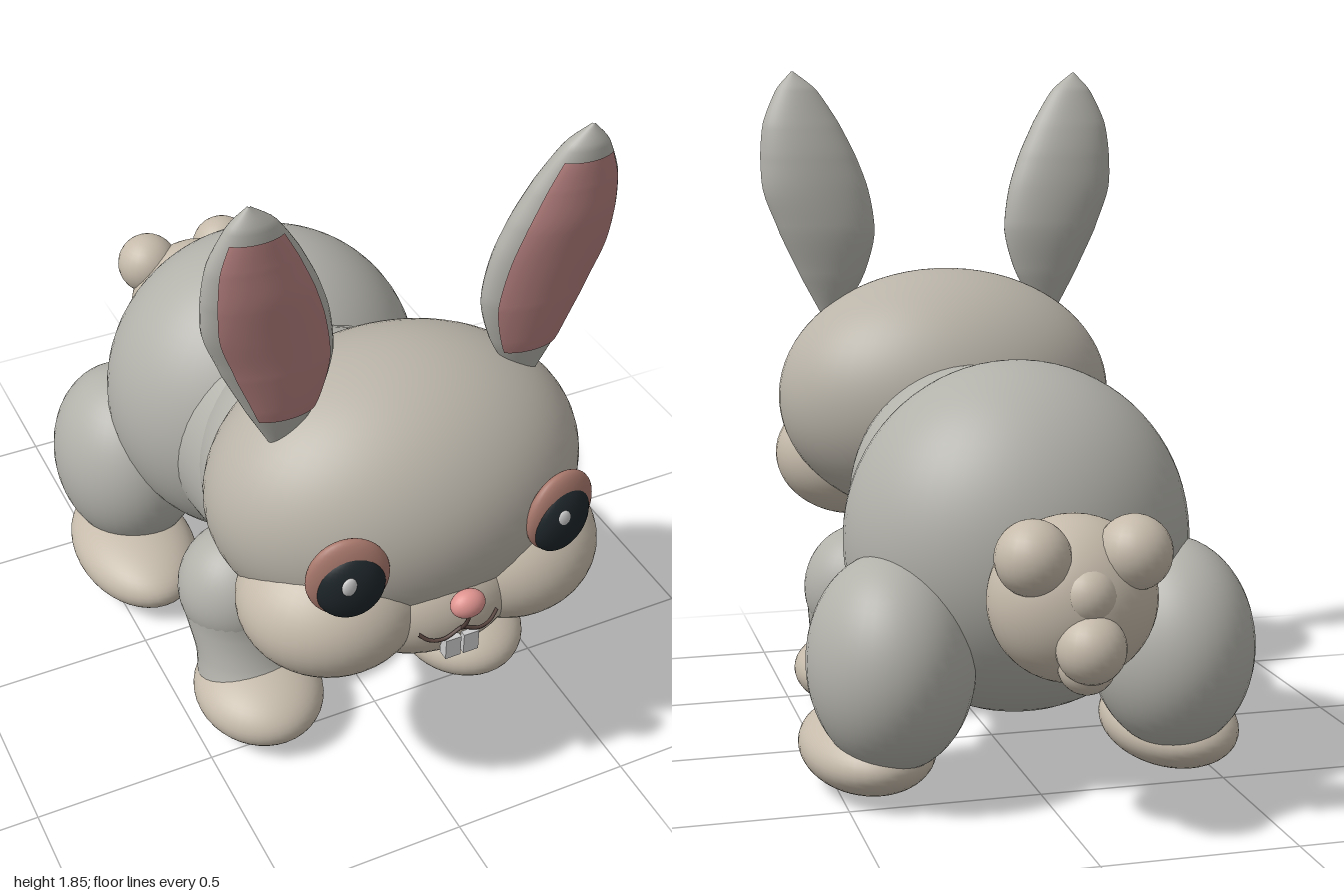
import * as THREE from 'three';
import { ParametricGeometry } from 'three/addons/geometries/ParametricGeometry.js';

const paint = (color) => new THREE.MeshStandardMaterial({ color });
const FUR = paint(0xb2b1aa), FACE = paint(0xb9b3a8), CREAM = paint(0xc6bbab);
const PINK = paint(0xe09490), EAR_PINK = paint(0xb47f7e), RIM = paint(0xa8786c);
const DARK = paint(0x1d2529), WHITE = paint(0xdddddd), LINE = paint(0x5a4640);

function add(parent, name, geometry, material) {
  const mesh = new THREE.Mesh(geometry, material);
  mesh.name = name;
  parent.add(mesh);
  return mesh;
}

// Ellipsoid from centre and radii
function blob(parent, name, material, centre, radii, detail = 40) {
  const mesh = add(parent, name, new THREE.SphereGeometry(1, detail, Math.round(detail * 0.7)), material);
  mesh.position.set(...centre);
  mesh.scale.set(...radii);
  return mesh;
}

// Smooth skin through elliptical rows [x, y, z, halfWidth, halfDepth]; limits pick a patch of it
function loft(rows, side, { a0 = 0, a1 = Math.PI * 2, t0 = 0, t1 = 1, lift = 0 } = {}) {
  const centres = new THREE.CatmullRomCurve3(rows.map(([x, y, z]) => new THREE.Vector3(x * side, y, z)));
  const radii = new THREE.CatmullRomCurve3(rows.map((r) => new THREE.Vector3(r[3], r[4], 0)));
  const c = new THREE.Vector3(), r = new THREE.Vector3();
  return new ParametricGeometry((u, v, target) => {
    const t = THREE.MathUtils.lerp(t0, t1, v), a = THREE.MathUtils.lerp(a0, a1, u);
    centres.getPoint(t, c);
    radii.getPoint(t, r);
    target.set(c.x + (r.x + lift) * Math.cos(a), c.y, c.z - (r.y + lift) * Math.sin(a));
  }, 36, 32);
}

function tube(parent, name, points, radius) {
  const curve = new THREE.CatmullRomCurve3(points.map((p) => new THREE.Vector3(...p)));
  add(parent, name, new THREE.TubeGeometry(curve, 16, radius, 6), LINE);
}

const EAR_ROWS = [
  [0.335, 1.12, 0.61, 0.02, 0.01], [0.33, 1.25, 0.61, 0.095, 0.045], [0.343, 1.38, 0.61, 0.143, 0.064],
  [0.373, 1.5, 0.618, 0.157, 0.069], [0.393, 1.6, 0.63, 0.143, 0.068], [0.412, 1.7, 0.643, 0.113, 0.056],
  [0.423, 1.8, 0.66, 0.058, 0.034], [0.432, 1.85, 0.668, 0.003, 0.003],
];
const SHIN_ROWS = [
  [0.315, 0.1, 0.37, 0.155, 0.17], [0.32, 0.22, 0.325, 0.138, 0.132],
  [0.315, 0.31, 0.285, 0.153, 0.148], [0.31, 0.4, 0.27, 0.168, 0.163],
];

export function createModel() {
  const model = new THREE.Group();
  model.name = 'rabbit';

  // Body
  const body = new THREE.Group();
  body.name = 'body';
  model.add(body);
  blob(body, 'rump', FUR, [0, 0.63, -0.26], [0.46, 0.465, 0.41], 56);
  blob(body, 'chest', FUR, [0, 0.65, 0.18], [0.36, 0.375, 0.335], 48);
  const waistProfile = [[0.375, -0.16], [0.368, -0.02], [0.356, 0.1], [0.345, 0.18], [0.28, 0.26]]
    .map(([r, z]) => new THREE.Vector2(r, z));
  const waist = add(body, 'waist', new THREE.LatheGeometry(new THREE.SplineCurve(waistProfile).getPoints(20), 48), FUR);
  waist.rotation.x = Math.PI / 2;
  waist.position.y = 0.61;

  // Tail with tufts
  const tail = new THREE.Group();
  tail.name = 'tail';
  model.add(tail);
  blob(tail, 'tailBall', CREAM, [0, 0.585, -0.765], [0.21, 0.205, 0.175]);
  for (const [x, y, z, r] of [[-0.125, 0.71, -0.855, 0.092], [0.125, 0.71, -0.855, 0.092],
    [0, 0.5, -0.915, 0.085], [0, 0.45, -0.88, 0.07], [0, 0.62, -0.88, 0.075]]) {
    blob(tail, 'tailTuft', CREAM, [x, y, z], [r, r, r], 24);
  }

  // Head and muzzle
  const head = new THREE.Group();
  head.name = 'head';
  model.add(head);
  blob(head, 'skull', FACE, [0, 0.895, 0.56], [0.5, 0.375, 0.375], 56);
  blob(head, 'muzzle', CREAM, [0, 0.68, 0.74], [0.26, 0.18, 0.2]);
  blob(head, 'nose', PINK, [0, 0.775, 0.965], [0.046, 0.038, 0.033], 24);
  tube(head, 'lipLine', [[0, 0.75, 0.98], [0, 0.71, 0.965], [0, 0.675, 0.945]], 0.005);

  for (const side of [1, -1]) {
    const tag = side > 0 ? 'left' : 'right';
    blob(head, tag + 'Cheek', CREAM, [side * 0.25, 0.7, 0.715], [0.24, 0.19, 0.23]);
    tube(head, tag + 'Mouth', [[0, 0.68, 0.945], [side * 0.05, 0.657, 0.944],
      [side * 0.085, 0.66, 0.936], [side * 0.11, 0.68, 0.925]], 0.005);
    const tooth = add(head, tag + 'Tooth', new THREE.BoxGeometry(0.042, 0.06, 0.03), WHITE);
    tooth.position.set(side * 0.025, 0.625, 0.938);

    // Eyes
    blob(head, tag + 'EyeRim', RIM, [side * 0.29, 0.912, 0.89], [0.104, 0.115, 0.035], 32).rotation.y = side * 0.2;
    blob(head, tag + 'Eye', DARK, [side * 0.288, 0.895, 0.9], [0.087, 0.097, 0.045], 32).rotation.y = side * 0.2;
    blob(head, tag + 'EyeGlint', WHITE, [side * 0.29 - 0.018, 0.925, 0.938], [0.02, 0.026, 0.01], 16);

    // Ears
    add(head, tag + 'Ear', loft(EAR_ROWS, side), FUR);
    add(head, tag + 'InnerEar', loft(EAR_ROWS, side,
      { a0: -Math.PI / 2 - 0.95, a1: -Math.PI / 2 + 0.95, t0: 0.12, t1: 0.81, lift: 0.004 }), EAR_PINK);

    // Front leg
    const frontLeg = new THREE.Group();
    frontLeg.name = tag + 'FrontLeg';
    model.add(frontLeg);
    blob(frontLeg, 'shoulder', FUR, [side * 0.31, 0.385, 0.27], [0.17, 0.18, 0.165]);
    add(frontLeg, 'shin', loft(SHIN_ROWS, side), FUR);
    blob(frontLeg, 'frontFoot', CREAM, [side * 0.315, 0.107, 0.403], [0.176, 0.107, 0.205]);

    // Hind leg
    const hindLeg = new THREE.Group();
    hindLeg.name = tag + 'HindLeg';
    model.add(hindLeg);
    blob(hindLeg, 'thigh', FUR, [side * 0.375, 0.36, -0.425], [0.215, 0.28, 0.26]);
    blob(hindLeg, 'hindFoot', CREAM, [side * 0.415, 0.107, -0.3], [0.176, 0.107, 0.275]);
  }
  return model;
}
